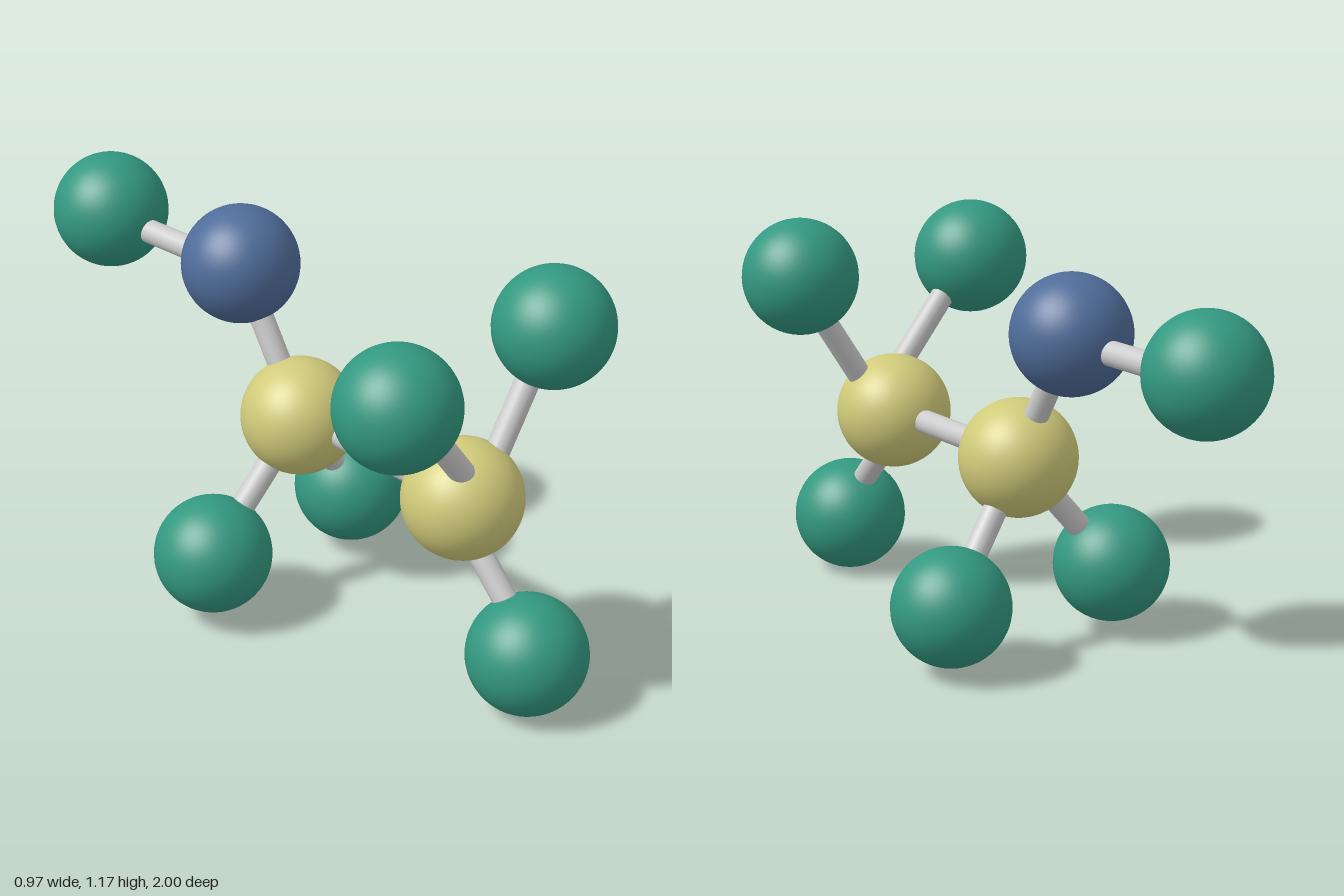
import * as THREE from 'three';

const BALL_RADIUS = 0.17;
const ROD_RADIUS = 0.035;

export function createModel() {
  const model = new THREE.Group();
  const grey = new THREE.MeshStandardMaterial({ color: 0xcccccc });
  const yellow = new THREE.MeshStandardMaterial({ color: 0xd0ca7a });
  const blue = new THREE.MeshStandardMaterial({ color: 0x4f6c99 });
  const green = new THREE.MeshStandardMaterial({ color: 0x339880 });
  const ballGeometry = new THREE.SphereGeometry(BALL_RADIUS, 48, 32);

  // Ball centres
  const balls = {
    frontCoreBall: [yellow, 0.01, 0.56, 0.58],
    rearCoreBall: [yellow, 0.03, 0.565, -0.053],
    upperLinkBall: [blue, 0.03, 0.967, -0.286],
    rearTipBall: [green, 0.026, 0.967, -0.827],
    frontUpperRightBall: [green, -0.315, 0.982, 0.627],
    frontUpperLeftBall: [green, 0.292, 0.998, 0.642],
    frontLowerBall: [green, 0.006, 0.172, 0.83],
    rearLowerRightBall: [green, -0.265, 0.207, -0.113],
    rearLowerLeftBall: [green, 0.31, 0.197, -0.11],
  };
  for (const [name, [material, ...centre]] of Object.entries(balls)) {
    const ball = new THREE.Mesh(ballGeometry, material);
    ball.name = name;
    ball.position.set(...centre);
    model.add(ball);
  }

  // A rod runs between two points; both ends are buried in balls
  const addRod = (name, a, b) => {
    const start = new THREE.Vector3(...a);
    const axis = new THREE.Vector3(...b).sub(start);
    const rod = new THREE.Mesh(
      new THREE.CylinderGeometry(ROD_RADIUS, ROD_RADIUS, axis.length(), 24), grey);
    rod.name = name;
    rod.position.copy(start).addScaledVector(axis, 0.5);
    rod.quaternion.setFromUnitVectors(new THREE.Vector3(0, 1, 0), axis.normalize());
    model.add(rod);
  };
  const centreOf = (name) => balls[name].slice(1);

  // Rods aimed from centre to centre
  const links = [
    ['coreRod', 'frontCoreBall', 'rearCoreBall'],
    ['upperLinkRod', 'rearCoreBall', 'upperLinkBall'],
    ['rearLowerRightRod', 'rearCoreBall', 'rearLowerRightBall'],
    ['rearLowerLeftRod', 'rearCoreBall', 'rearLowerLeftBall'],
  ];
  for (const [name, from, to] of links) addRod(name, centreOf(from), centreOf(to));

  // Rods that sit slightly off centre in their balls
  addRod('rearTipRod', [0.03, 0.947, -0.3], [0.026, 0.947, -0.8]);
  addRod('frontUpperRightRod', [0.01, 0.59, 0.648], [-0.25, 0.962, 0.593]);
  addRod('frontUpperLeftRod', [0.045, 0.577, 0.61], [0.29, 0.956, 0.618]);
  addRod('frontLowerRod', [0.01, 0.52, 0.553], [0.006, 0.2, 0.843]);

  return model;
}
